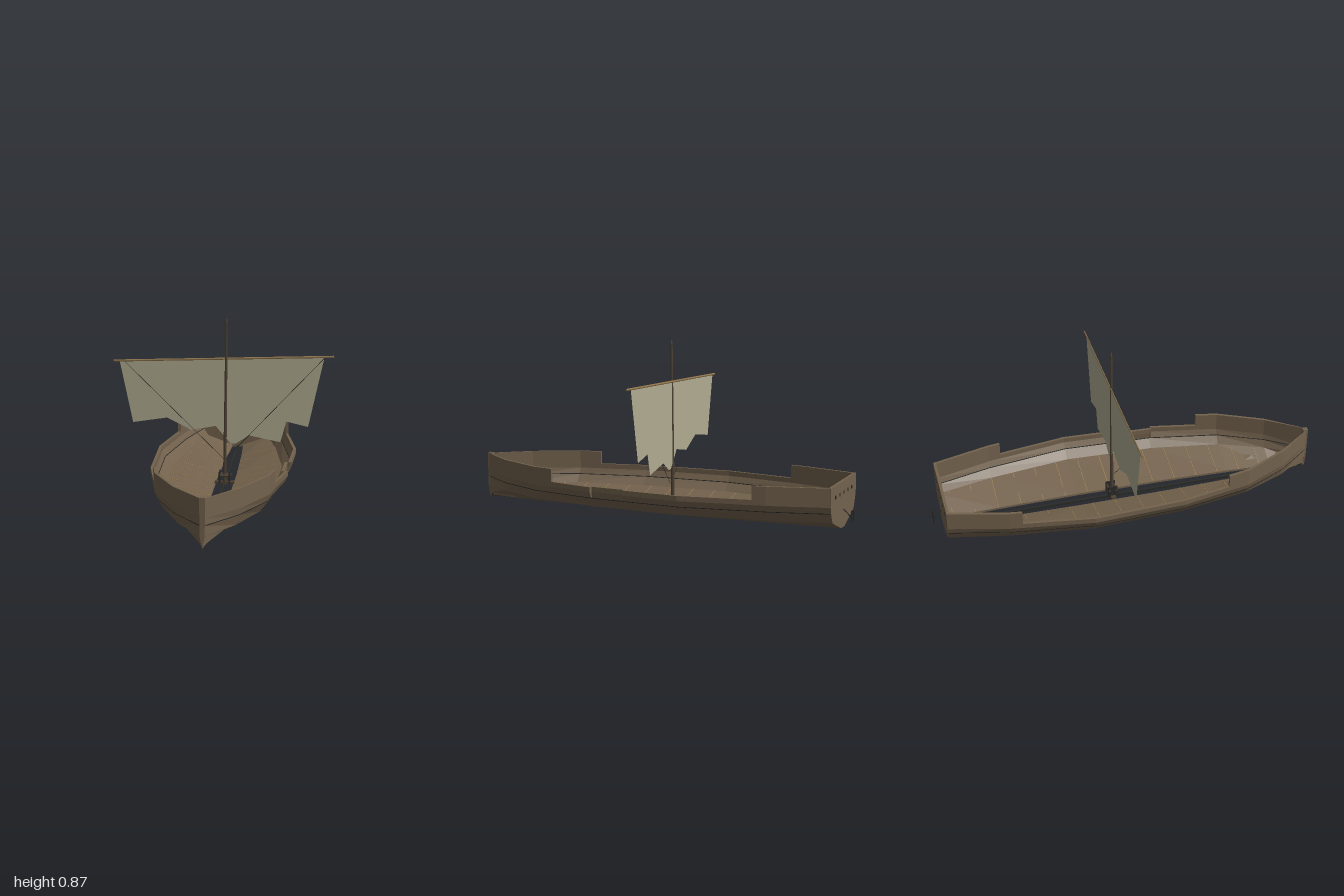
import * as THREE from 'three';

const mat = (name, color) => {
  const m = new THREE.MeshStandardMaterial({ color, side: THREE.DoubleSide });
  m.name = name;
  return m;
};

export function createModel() {
  const wood = mat('hull wood', 0x73624d);
  const tan = mat('light wood', 0x94794f);
  const mastWood = mat('mast wood', 0x4e4234);
  const dark = mat('dark iron and rope', 0x2a2a28);
  const cloth = mat('sail cloth', 0xb0ab91);

  const model = new THREE.Group();
  model.name = 'sailingBoat';
  const hull = new THREE.Group();
  hull.name = 'hull';
  hull.position.x = 0.005;
  model.add(hull);

  const add = (parent, name, geo, material) => {
    const m = new THREE.Mesh(geo, material);
    m.name = name;
    parent.add(m);
    return m;
  };

  // Hull stations: z, half width, half width of the open slot in the bottom
  const stations = [
    [-0.95, 0.219, 0.03], [-0.66, 0.295, 0.041], [-0.24, 0.36, 0.048], [0.22, 0.339, 0.045],
    [0.58, 0.267, 0.035], [0.81, 0.154, 0.022], [0.995, 0.01, 0.002],
  ];
  const at = (z, k) => {
    let i = 0;
    while (i < stations.length - 2 && z > stations[i + 1][0]) i++;
    const a = stations[i], b = stations[i + 1];
    return THREE.MathUtils.lerp(a[k], b[k], (z - a[0]) / (b[0] - a[0]));
  };
  const half = z => at(z, 1);
  const slot = z => at(z, 2);

  // Sweep a closed cross-section along the stations between two z values
  const loft = (z0, z1, side, section) => {
    const zs = [z0, ...stations.map(s => s[0]).filter(z => z > z0 + 1e-4 && z < z1 - 1e-4), z1];
    const pos = [], idx = [];
    let n = 0;
    zs.forEach(z => {
      const pts = section(z);
      n = pts.length;
      pts.forEach(([x, y]) => pos.push(side * x, y, z));
    });
    const quad = (a, b, c, d) => side > 0 ? idx.push(a, c, d, a, d, b) : idx.push(a, b, d, a, d, c);
    for (let i = 0; i < zs.length - 1; i++)
      for (let j = 0; j < n; j++) {
        const k = (j + 1) % n;
        quad(i * n + j, i * n + k, (i + 1) * n + j, (i + 1) * n + k);
      }
    // End caps, joining opposite points of the section
    [0, (zs.length - 1) * n].forEach((o, e) => {
      for (let j = 0; j < n / 2 - 1; j++) {
        const q = [o + j, o + j + 1, o + n - 1 - j, o + n - 2 - j];
        e ? quad(...q) : quad(q[1], q[0], q[3], q[2]);
      }
    });
    const g = new THREE.BufferGeometry();
    g.setAttribute('position', new THREE.Float32BufferAttribute(pos, 3));
    g.setIndex(idx);
    const flat = g.toNonIndexed();
    flat.computeVertexNormals();
    return flat;
  };

  const thick = z => Math.min(0.015, half(z) * 0.4);
  const bottom = z => {
    const w = half(z), t = thick(z), g = slot(z);
    return [[g, 0.005], [0.84 * w, 0.06], [0.955 * w, 0.108],
      [0.955 * w - t, 0.108], [0.84 * w - t, 0.068], [g, 0.016]];
  };
  const topside = inset => z => {
    const w = half(z) - inset, t = thick(z);
    return [[0.955 * half(z) - inset * 0.5, 0.108], [w, 0.14], [w, 0.165],
      [w - t, 0.165], [w - t, 0.14], [0.955 * half(z) - t, 0.108]];
  };
  const bulwark = z => {
    const w = half(z), t = thick(z);
    return [[w, 0.163], [w, 0.231], [w - t, 0.231], [w - t, 0.163]];
  };
  // Thin line along the plank joint, outside and inside
  const seam = z => {
    const x = 0.955 * half(z), t = thick(z);
    return [[x + 0.001, 0.107], [x + 0.0025, 0.1105], [x - t - 0.001, 0.1105], [x - t - 0.0015, 0.107]];
  };
  // Thin cross line lying on the floor
  const floorSeam = z => {
    const w = half(z), t = thick(z), g = slot(z);
    return [[g, 0.015], [0.84 * w - t, 0.067], [0.84 * w - t, 0.0692], [g, 0.0172]];
  };

  for (const s of [1, -1]) {
    const label = s > 0 ? 'left' : 'right';
    add(hull, label + 'Bottom', loft(-0.95, 0.995, s, bottom), wood);
    add(hull, label + 'PlankSeam', loft(-0.95, 0.99, s, seam), dark);
    add(hull, label + 'SternBulwark', loft(-0.95, -0.595, s, bulwark), wood);
    add(hull, label + 'BowBulwark', loft(0.47, 0.995, s, bulwark), wood);
    for (let i = 0; i < 15; i++) {
      const z = -0.895 + i * 0.118;
      add(hull, label + 'FloorSeam', loft(z - 0.0018, z + 0.0018, s, floorSeam), tan);
    }
  }
  // Upper planking, with a broken length on one side
  add(hull, 'rightTopside', loft(-0.95, 0.995, -1, topside(0)), wood);
  add(hull, 'leftTopsideAft', loft(-0.95, 0.05, 1, topside(0)), wood);
  add(hull, 'leftTopsideFore', loft(0.23, 0.995, 1, topside(0)), wood);
  add(hull, 'leftTopsideBroken', loft(0.05, 0.23, 1, topside(0.018)), wood);

  // Transom with a row of small ports
  const w = half(-0.95);
  const right = [[0.03, 0.005], [0.84 * w, 0.06], [0.955 * w, 0.108], [w, 0.14], [w, 0.231]];
  const outline = [...right, ...right.map(([x, y]) => [-x, y]).reverse()];
  const shapeOf = pts => new THREE.Shape(pts.map(p => new THREE.Vector2(...p)));
  add(hull, 'transom', new THREE.ExtrudeGeometry(shapeOf(outline), { depth: 0.014, bevelEnabled: false }), wood)
    .position.z = -0.952;
  for (let i = -2; i <= 2; i++)
    add(hull, 'sternPort', new THREE.BoxGeometry(0.016, 0.016, 0.003), dark).position.set(i * 0.07, 0.175, -0.952);

  // Stem post and keel
  const stem = [[0, 0], [0.011, 0.06], [0.013, 0.235], [-0.013, 0.235], [-0.011, 0.06]];
  add(hull, 'stemPost', new THREE.ExtrudeGeometry(shapeOf(stem), { depth: 0.025, bevelEnabled: false }), wood)
    .position.z = 0.975;
  add(hull, 'keel', new THREE.BoxGeometry(0.011, 0.012, 1.93), dark).position.set(-0.001, 0.008, 0.02);

  // Round or square bar between two points
  const bar = (parent, name, a, b, r0, r1, material, sides = 6) => {
    const p = new THREE.Vector3(...a), q = new THREE.Vector3(...b), d = q.clone().sub(p);
    const m = add(parent, name, new THREE.CylinderGeometry(r1, r0, d.length(), sides), material);
    m.position.copy(p).add(q).multiplyScalar(0.5);
    m.quaternion.setFromUnitVectors(new THREE.Vector3(0, 1, 0), d.normalize());
    return m;
  };

  // Steering gear hanging off the stern
  const gear = new THREE.Group();
  gear.name = 'steeringGear';
  hull.add(gear);
  bar(gear, 'tillerArm', [0, 0.1, -0.945], [0, 0.05, -0.997], 0.0025, 0.0025, dark, 4);
  for (const s of [-1, 1]) {
    bar(gear, 'frameUpright', [s * 0.019, 0.03, -0.997], [s * 0.019, 0.09, -0.997], 0.0025, 0.0025, dark, 4);
    bar(gear, 'frameRail', [-0.019, 0.06 + s * 0.03, -0.997], [0.019, 0.06 + s * 0.03, -0.997], 0.0025, 0.0025, dark, 4);
  }

  // Mast, yard, sail and ropes
  const rig = new THREE.Group();
  rig.name = 'rig';
  rig.position.z = -0.07;
  model.add(rig);
  bar(rig, 'mast', [0.006, 0.01, 0], [0.016, 0.85, 0.005], 0.01, 0.006, mastWood, 6);
  bar(rig, 'mastTip', [0.016, 0.85, 0.005], [0.0165, 0.872, 0.005], 0.006, 0.002, mastWood, 6);
  bar(rig, 'yard', [-0.56, 0.646, 0], [0.556, 0.682, 0], 0.006, 0.006, tan, 6).scale.z = 0.6;
  const sail = [[-0.53, 0.645], [-0.465, 0.328], [-0.29, 0.355], [-0.165, 0.293], [-0.04, 0.316], [0.035, 0.226],
    [0.06, 0.225], [0.13, 0.27], [0.29, 0.238], [0.32, 0.346], [0.43, 0.32], [0.508, 0.678]];
  add(rig, 'sail', new THREE.ShapeGeometry(shapeOf(sail)), cloth);
  bar(rig, 'rightRope', [-0.505, 0.645, 0.004], [0, 0.15, 0.012], 0.0013, 0.0013, dark, 4);
  bar(rig, 'leftRope', [0.508, 0.675, 0.004], [0.015, 0.15, 0.012], 0.0013, 0.0013, dark, 4);

  // Winch around the mast foot
  const winch = new THREE.Group();
  winch.name = 'winch';
  rig.add(winch);
  for (const s of [-1, 1]) {
    add(winch, 'winchCheek', new THREE.BoxGeometry(0.007, 0.06, 0.05), dark).position.set(0.006 + s * 0.025, 0.05, 0);
    bar(winch, 'winchDrum', [-0.026, 0.06, s * 0.018], [0.038, 0.06, s * 0.018], 0.006, 0.006, mastWood, 8);
  }
  add(winch, 'winchBed', new THREE.BoxGeometry(0.1, 0.01, 0.025), mastWood).position.set(0.006, 0.022, 0);
  return model;
}
